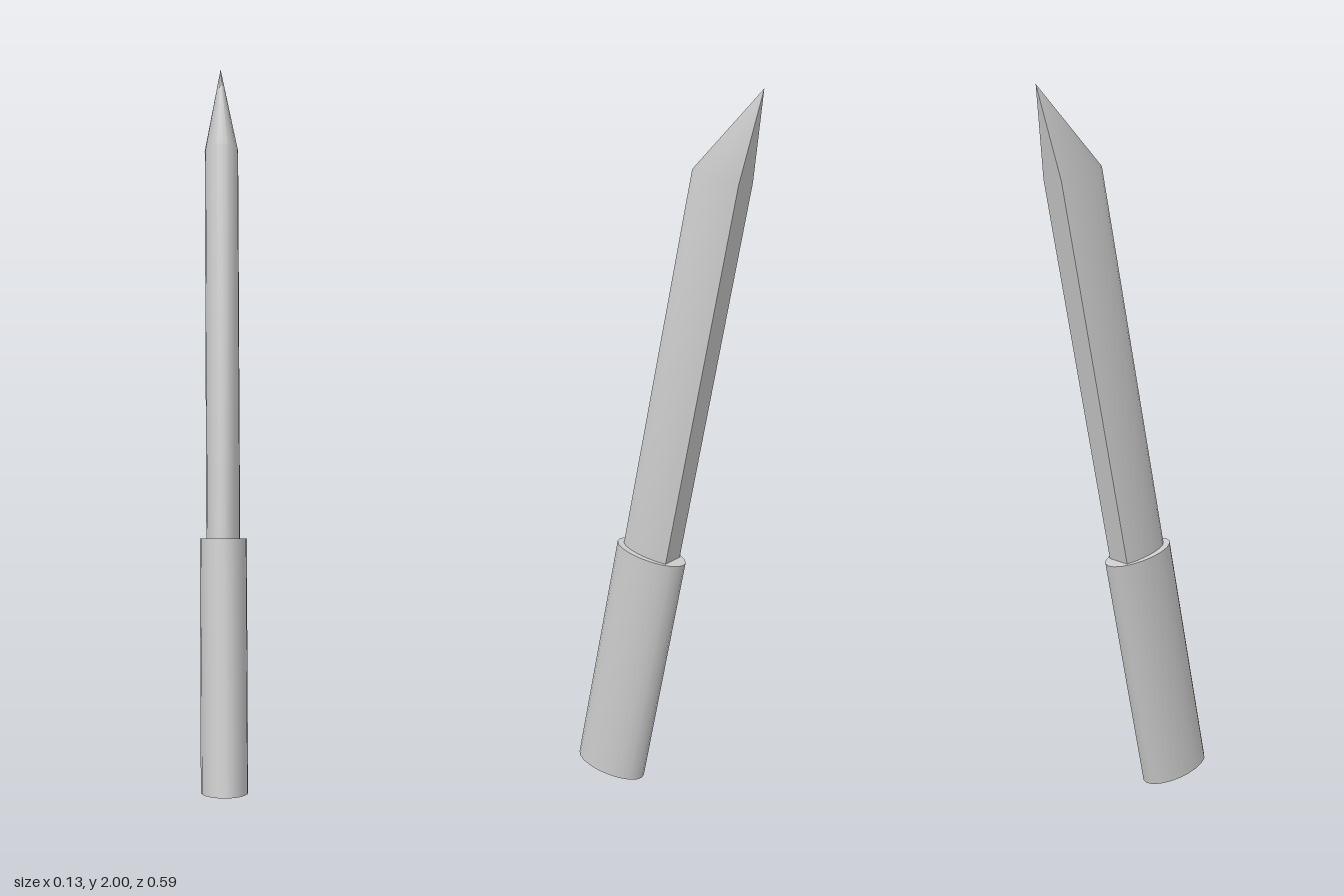
import * as THREE from 'three';
import { toCreasedNormals } from 'three/addons/utils/BufferGeometryUtils.js';

const SIDES = 20;

// Blade: oval section with a flat back, drawn up and then drawn to a point on the back face
function bladeGeometry(halfWidth, halfDepth, centreZ, bottom, shoulder, tip) {
  const section = [];
  for (let i = -7; i <= 7; i++) {
    const a = (i / SIDES) * Math.PI * 2;
    section.push([halfWidth * Math.sin(a), centreZ + halfDepth * Math.cos(a)]);
  }
  const n = section.length;
  const positions = [];
  for (const y of [bottom, shoulder]) {
    for (const [x, z] of section) positions.push(x, y, z);
  }
  const backZ = section[0][1];
  positions.push(0, tip, backZ, 0, bottom, centreZ);
  const tipIndex = 2 * n, baseIndex = 2 * n + 1;

  const index = [];
  for (let i = 0; i < n; i++) {
    const j = (i + 1) % n;
    index.push(i, j, n + j, i, n + j, n + i); // side
    index.push(n + i, n + j, tipIndex); // point
    index.push(j, i, baseIndex); // hidden base
  }
  const geometry = new THREE.BufferGeometry();
  geometry.setAttribute('position', new THREE.Float32BufferAttribute(positions, 3));
  geometry.setIndex(index);
  return toCreasedNormals(geometry, THREE.MathUtils.degToRad(40));
}

export function createModel() {
  const material = new THREE.MeshStandardMaterial({ color: 0xcccccc });
  const model = new THREE.Group();
  model.name = 'knife';

  // Whole knife leans backwards, pivoting on the centre of the handle's end
  const leaning = new THREE.Group();
  leaning.name = 'leaningKnife';
  leaning.position.set(0, 0.022, 0.189);
  leaning.rotation.x = -0.205;
  model.add(leaning);

  // Oval handle
  const length = 0.697;
  const handleGeometry = new THREE.CylinderGeometry(1, 1, length, SIDES);
  handleGeometry.scale(0.065, 1, 0.1085);
  handleGeometry.translate(0, length / 2, 0);
  const handle = new THREE.Mesh(handleGeometry, material);
  handle.name = 'handle';
  leaning.add(handle);

  // Blade, seated slightly inside the handle
  const blade = new THREE.Mesh(bladeGeometry(0.047, 0.102, -0.012, 0.66, 1.785, 2.035), material);
  blade.name = 'blade';
  leaning.add(blade);

  return model;
}
